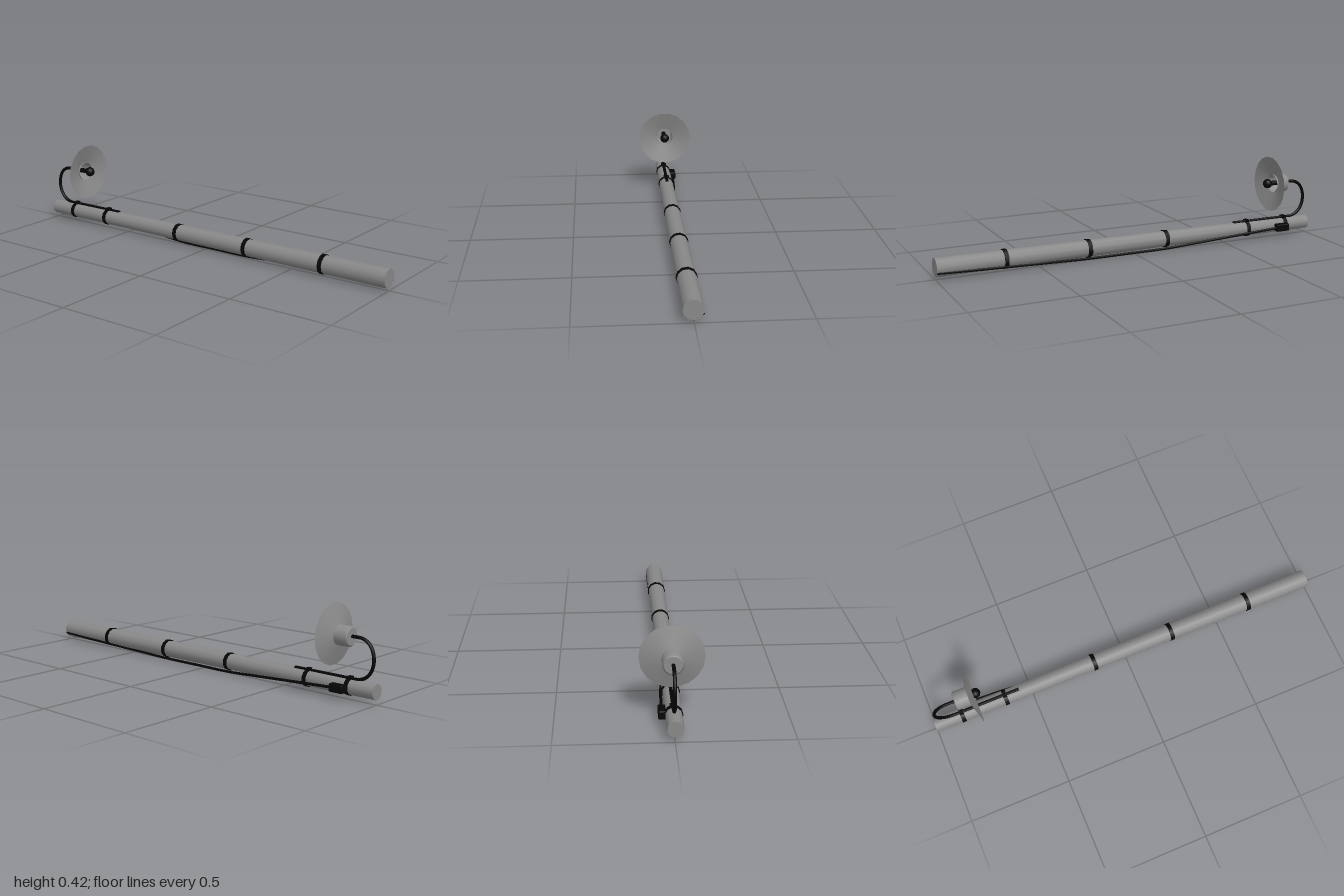
import * as THREE from 'three';
import { RoundedBoxGeometry } from 'three/addons/geometries/RoundedBoxGeometry.js';

const POLE_X = -0.002, POLE_Y = 0.0585, LAMP_Y = 0.281;

const grey = new THREE.MeshStandardMaterial({ color: 0x888888 });
const greyThin = new THREE.MeshStandardMaterial({ color: 0x8a8a8a, side: THREE.DoubleSide });
const black = new THREE.MeshStandardMaterial({ color: 0x050505 });

// Pole radius tapers from the front end to the back end
const poleRadius = z => 0.0405 + 0.005 * z;

export function createModel() {
  const model = new THREE.Group();

  const add = (name, geometry, material, x = 0, y = 0, z = 0) => {
    const mesh = new THREE.Mesh(geometry, material);
    mesh.name = name;
    mesh.position.set(x, y, z);
    model.add(mesh);
    return mesh;
  };
  // Cylinder along z, with a vertex on the -x side
  const rod = (rFront, rBack, length, sides) =>
    new THREE.CylinderGeometry(rFront, rBack, length, sides, 1, false, -Math.PI / 2).rotateX(Math.PI / 2);
  const lathe = (points, sides) =>
    new THREE.LatheGeometry(points.map(p => new THREE.Vector2(...p)), sides, Math.PI / 2).rotateX(Math.PI / 2);

  // Pole
  add('pole', rod(poleRadius(1), poleRadius(-1), 2, 11), grey, POLE_X, POLE_Y, 0);

  // Straps around the pole
  for (const z of [0.67, 0.25, -0.165, -0.635, -0.86]) {
    const r = poleRadius(z) + 0.0035;
    add('strap', rod(r, r, 0.02, 11), black, POLE_X, POLE_Y, z);
  }
  // Strap humps that hold the lamp arm
  for (const z of [-0.635, -0.86]) {
    add('armClamp', new THREE.BoxGeometry(0.028, 0.016, 0.02), black, 0, 0.098, z);
  }

  // Curved lamp arm, lying on the pole and bending up behind the lamp
  const arm = new THREE.CurvePath();
  const v = (y, z) => new THREE.Vector3(0, y, z);
  arm.add(new THREE.LineCurve3(v(0.096, -0.56), v(0.096, -0.89)));
  arm.add(new THREE.CubicBezierCurve3(v(0.096, -0.89), v(0.096, -0.945), v(0.14, -0.98), v(0.19, -0.98)));
  arm.add(new THREE.CubicBezierCurve3(v(0.19, -0.98), v(0.245, -0.98), v(0.283, -0.95), v(0.283, -0.9)));
  arm.add(new THREE.LineCurve3(v(0.283, -0.9), v(0.283, -0.855)));
  add('lampArm', new THREE.TubeGeometry(arm, 70, 0.008, 8), black);
  add('armTip', new THREE.CircleGeometry(0.008, 8), black, 0, 0.096, -0.56);

  // Lamp shade, housing, socket and bulb
  add('lampShade', lathe([[0.046, -0.798], [0.141, -0.77]], 18), greyThin, 0, LAMP_Y, 0);
  add('lampHousing', lathe([[0.039, -0.865], [0.046, -0.859], [0.046, -0.79]], 18), greyThin, 0, LAMP_Y, 0);
  const back = add('housingBack', new THREE.CircleGeometry(0.039, 18), greyThin, 0, LAMP_Y, -0.865);
  back.rotation.y = Math.PI;
  add('bulbSocket', rod(0.012, 0.012, 0.1, 10), black, 0, 0.283, -0.813);
  add('bulb', new THREE.SphereGeometry(0.024, 14, 10), black, 0, 0.283, -0.76);

  // Junction box on the side of the pole
  add('junctionBox', new RoundedBoxGeometry(0.034, 0.038, 0.072, 2, 0.005), black, 0.045, 0.054, -0.826);

  // Cable sagging under the pole
  const cablePath = [
    [0.046, 0.053, -0.8], [0.04, 0.042, -0.62], [0.022, 0.022, -0.35], [0.009, 0.009, -0.16],
    [0.008, 0.0085, 0.05], [0.009, 0.009, 0.25], [0.018, 0.016, 0.42], [0.033, 0.03, 0.75], [0.037, 0.04, 0.994],
  ].map(p => new THREE.Vector3(...p));
  add('cable', new THREE.TubeGeometry(new THREE.CatmullRomCurve3(cablePath), 60, 0.0065, 8), black);
  add('cableEnd', new THREE.SphereGeometry(0.0065, 8, 6), black, ...cablePath.at(-1));

  return model;
}
